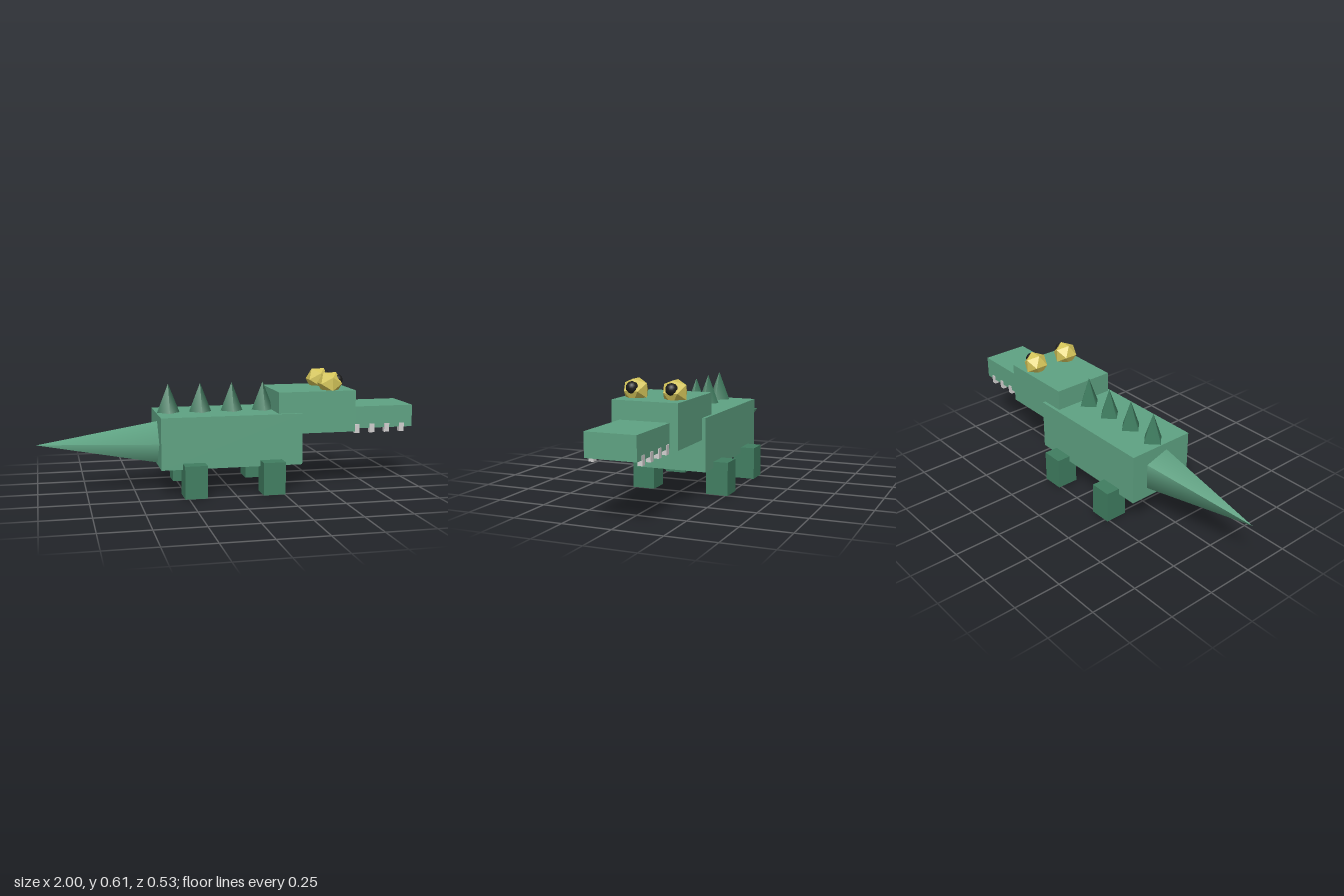
import * as THREE from 'three';

const material = (name, color) => {
  const m = new THREE.MeshStandardMaterial({ color });
  m.name = name;
  return m;
};

export function createModel() {
  const model = new THREE.Group();
  model.name = 'crocodile';

  const skin = material('green skin', 0x5fa383);
  const dark = material('dark green', 0x407e61);
  const ivory = material('tooth grey', 0xd2d0d0);
  const gold = material('eye yellow', 0xd6c65a);
  const black = material('pupil black', 0x1c1c1c);

  const add = (name, geometry, mat, x, y, z) => {
    const mesh = new THREE.Mesh(geometry, mat);
    mesh.name = name;
    mesh.position.set(x, y, z);
    model.add(mesh);
    return mesh;
  };
  const box = (w, h, d) => new THREE.BoxGeometry(w, h, d);

  // Body, head and snout run along x, with the snout at +x
  add('body', box(0.745, 0.27, 0.374), skin, -0.0075, 0.273, 0);
  add('head', box(0.42, 0.22, 0.34), skin, 0.45, 0.409, 0);
  add('snout', box(0.38, 0.118, 0.256), skin, 0.81, 0.367, 0);

  // Five-sided tail, its base sunk into the body
  const tail = new THREE.ConeGeometry(0.157, 0.84, 5).rotateZ(Math.PI / 2);
  add('tail', tail, skin, -0.58, 0.26, 0);

  // Four-sided spikes along the back
  const spike = new THREE.ConeGeometry(0.062, 0.158, 4);
  for (let i = 0; i < 4; i++) add('backSpike', spike, dark, -0.315 + i * 0.17, 0.481, 0);

  const leg = box(0.116, 0.17, 0.118);
  const tooth = box(0.028, 0.047, 0.024);
  const eye = new THREE.IcosahedronGeometry(0.0676, 0);
  const pupil = new THREE.IcosahedronGeometry(0.0315, 1);

  // Paired parts
  for (const side of [1, -1]) {
    add('frontLeg', leg, dark, 0.196, 0.085, side * 0.204);
    add('backLeg', leg, dark, -0.213, 0.085, side * 0.204);
    add('eye', eye, gold, 0.536, 0.5525, side * 0.102);
    add('pupil', pupil, black, 0.576, 0.569, side * 0.102);
    for (let i = 0; i < 4; i++) add('tooth', tooth, ivory, 0.687 + i * 0.0845, 0.3065, side * 0.119);
  }

  return model;
}
